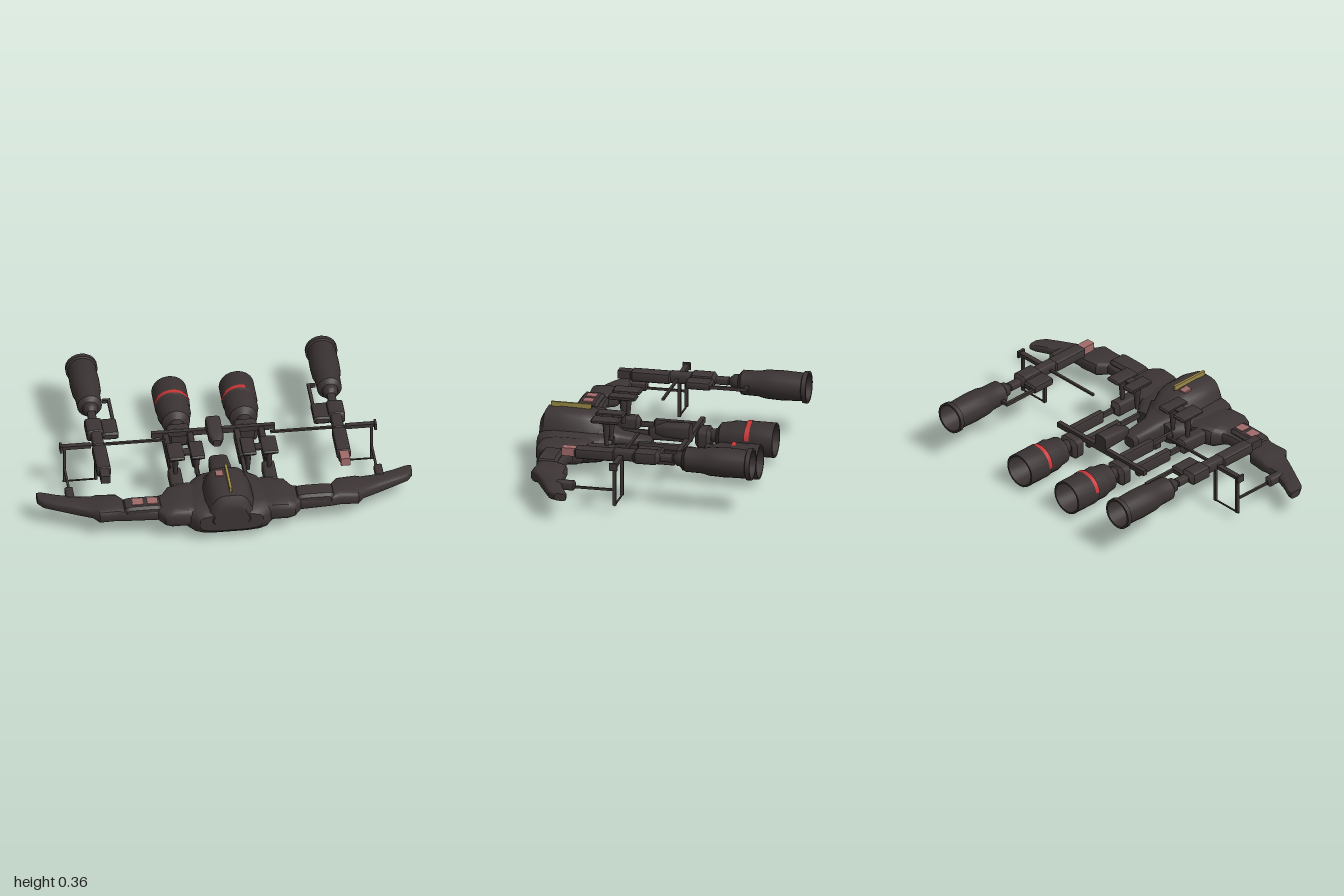
import * as THREE from 'three';
import { toCreasedNormals } from 'three/addons/utils/BufferGeometryUtils.js';

const mat = (name, color, side = THREE.FrontSide) => {
  const m = new THREE.MeshStandardMaterial({ color, side });
  m.name = name;
  return m;
};

// Loft along z. Section: [z, x0, x1, y0, y1]; power squares the ring, taper narrows its top.
function loft(sections, power = 0.5, taper = 0, n = 16) {
  const pos = [], idx = [];
  const soft = (v) => Math.sign(v) * Math.pow(Math.abs(v), power);
  for (const [z, x0, x1, y0, y1] of sections) {
    for (let j = 0; j < n; j++) {
      const a = ((j + 0.5) / n) * Math.PI * 2, s = soft(Math.sin(a));
      pos.push((x0 + x1) / 2 + ((x1 - x0) / 2) * soft(Math.cos(a)) * (1 - taper * (s + 1) / 2),
        (y0 + y1) / 2 + ((y1 - y0) / 2) * s, z);
    }
  }
  for (let i = 0; i < sections.length - 1; i++) {
    for (let j = 0; j < n; j++) {
      const k = (j + 1) % n, a = i * n + j, b = i * n + k;
      idx.push(a, b, b + n, a, b + n, a + n);
    }
  }
  const last = (sections.length - 1) * n;
  for (let j = 1; j < n - 1; j++) idx.push(0, j + 1, j, last, last + j, last + j + 1);
  const g = new THREE.BufferGeometry();
  g.setAttribute('position', new THREE.Float32BufferAttribute(pos, 3));
  g.setIndex(idx);
  return toCreasedNormals(g, 0.6);
}

export function createModel() {
  const root = new THREE.Group();
  root.name = 'gunship';
  const hullMat = mat('charcoal', 0x3d3535);
  const shellMat = mat('charcoal shell', 0x3a3232, THREE.DoubleSide);
  const red = mat('signal red', 0xc83434, THREE.DoubleSide);
  const yellow = mat('ochre yellow', 0x9c8a48);
  const pink = mat('faded pink', 0xa06a68);

  const add = (name, geo, material = hullMat, x = 0, y = 0, z = 0) => {
    const m = new THREE.Mesh(geo, material);
    m.name = name;
    m.position.set(x, y, z);
    root.add(m);
    return m;
  };
  // Box given by its limits
  const box = (name, x0, x1, y0, y1, z0, z1, material = hullMat) =>
    add(name, new THREE.BoxGeometry(Math.abs(x1 - x0), y1 - y0, z1 - z0), material,
      (x0 + x1) / 2, (y0 + y1) / 2, (z0 + z1) / 2);
  // Softened box, lofted along z
  const pod = (name, x, w, y0, y1, z0, z1, c = 0.02) => {
    const ring = (z, k) => [z, x - w + k, x + w - k, y0 + k, y1 - k];
    return add(name, loft([ring(z0, c), ring(z0 + c, 0), ring(z1 - c, 0), ring(z1, c)], 0.4));
  };
  // Lathe around a fore and aft axis, points are [radius, z]
  const turned = (name, points, x, y, material) => {
    const g = new THREE.LatheGeometry(points.map(([r, z]) => new THREE.Vector2(r, z)), 20);
    g.rotateX(Math.PI / 2);
    return add(name, toCreasedNormals(g, 0.6), material, x, y, 0);
  };

  // Fuselage, canopy hump and tail spine
  add('fuselage', loft([
    [0.24, -0.14, 0.14, 0.06, 0.17], [0.3, -0.19, 0.19, 0.035, 0.19], [0.42, -0.25, 0.25, 0.03, 0.2],
    [0.55, -0.25, 0.25, 0.03, 0.2], [0.61, -0.21, 0.21, 0.04, 0.19], [0.64, -0.17, 0.17, 0.07, 0.17]], 0.55));
  add('canopy', loft([
    [0.25, -0.09, 0.09, 0.1, 0.18], [0.29, -0.12, 0.12, 0.1, 0.22], [0.36, -0.15, 0.15, 0.1, 0.28],
    [0.42, -0.165, 0.165, 0.1, 0.29], [0.54, -0.165, 0.165, 0.1, 0.293], [0.62, -0.14, 0.14, 0.1, 0.28],
    [0.645, -0.11, 0.11, 0.11, 0.23]], 0.5, 0.42));
  add('tailSpine', loft([
    [0.05, -0.035, 0.035, 0.08, 0.14], [0.07, -0.052, 0.052, 0.06, 0.155],
    [0.22, -0.062, 0.062, 0.05, 0.175], [0.32, -0.12, 0.12, 0.05, 0.22]], 0.5));
  box('canopyStripe', -0.007, 0.007, 0.288, 0.314, 0.38, 0.6, yellow);
  box('canopyMark', -0.06, -0.02, 0.285, 0.294, 0.4, 0.45, pink);
  pod('bellyFin', 0, 0.04, 0, 0.06, 0.2, 0.26, 0.012);
  const sensor = add('bellySensor', new THREE.CylinderGeometry(0.055, 0.035, 0.06, 8), yellow, 0, 0.055, 0.13);
  sensor.scale.z = 0.9;

  // Triangle outline on the belly
  const tri = (r, Type) => new Type([0, 1, 2].map((i) => {
    const a = Math.PI / 2 + (i * Math.PI * 2) / 3;
    return new THREE.Vector2(Math.cos(a) * r, Math.sin(a) * r);
  }));
  const mark = tri(0.09, THREE.Shape);
  mark.holes.push(tri(0.05, THREE.Path));
  const bellyMark = add('bellyMark', new THREE.ShapeGeometry(mark), red, 0, 0.026, 0.46);
  bellyMark.rotation.x = Math.PI / 2;

  // Inner pair of tail plates, connecting bar and pod
  box('tailCrossbar', -0.33, 0.33, 0.145, 0.175, -0.16, -0.135);
  add('tailPod', loft([
    [-0.16, -0.04, 0.04, 0.16, 0.245], [-0.02, -0.04, 0.04, 0.17, 0.24], [0.03, -0.02, 0.02, 0.18, 0.22]], 0.4));

  // Wing sections: [span, front z, back z, bottom y, top y]
  const wing = [
    [0.15, 0.62, 0.33, 0.08, 0.19], [0.2, 0.6, 0.31, 0.075, 0.19], [0.22, 0.605, 0.32, 0.07, 0.195],
    [0.31, 0.61, 0.35, 0.075, 0.195], [0.345, 0.6, 0.4, 0.085, 0.18], [0.38, 0.555, 0.41, 0.095, 0.175],
    [0.55, 0.55, 0.42, 0.1, 0.175], [0.59, 0.54, 0.37, 0.095, 0.18], [0.69, 0.545, 0.36, 0.095, 0.18],
    [0.72, 0.51, 0.36, 0.105, 0.168], [0.8, 0.47, 0.355, 0.105, 0.17], [0.9, 0.42, 0.32, 0.108, 0.165],
    [0.97, 0.385, 0.285, 0.11, 0.16], [1.0, 0.345, 0.28, 0.115, 0.155]];

  for (const s of [-1, 1]) {
    const span = wing.map(([x, f, b, y0, y1]) => [s * x, -f, -b, y0, y1]);
    if (s < 0) span.reverse();
    add('wing', loft(span, 0.55).rotateY(Math.PI / 2));
    pod('wingPod', s * 0.46, 0.1, 0.12, 0.192, 0.435, 0.55, 0.015);
    pod('wingTipPod', s * 0.825, 0.022, 0.12, 0.17, 0.27, 0.38, 0.01);

    // Raised plates on stems beside the spine
    for (const [x, w] of [[0.137, 0.037], [0.25, 0.042]]) {
      pod('raisedPlate', s * x, w, 0.308, 0.33, 0.165, 0.32, 0.008);
      add('plateStem', new THREE.CylinderGeometry(0.022, 0.01, 0.14, 8), hullMat, s * x, 0.24, 0.24);
    }
    box('plateLink', s * 0.16, s * 0.22, 0.312, 0.322, 0.22, 0.275);
    pod('rootBlock', s * 0.25, 0.035, 0.1, 0.18, 0.17, 0.36);
    // Longerons running aft
    for (const x of [0.125, 0.255]) {
      pod('longeron', s * x, 0.018, 0.1, 0.17, -0.14, 0.1, 0.008);
      pod('longeronRoot', s * x, 0.011, 0.12, 0.15, 0.09, 0.43, 0.004);
    }

    // Inner engine
    pod('engineMount', s * 0.18, 0.062, 0.06, 0.17, -0.235, -0.15);
    turned('innerEngine', [[0.03, -0.2], [0.04, -0.26], [0.075, -0.285], [0.08, -0.33], [0.09, -0.36],
      [0.088, -0.42], [0.094, -0.43], [0.094, -0.58], [0.084, -0.58], [0.075, -0.44]], s * 0.18, 0.128, shellMat);
    const core = add('engineCore', new THREE.CircleGeometry(0.077, 20), red, s * 0.18, 0.128, -0.45);
    core.rotation.y = Math.PI;
    const band = add('engineBand', new THREE.CylinderGeometry(0.0965, 0.0965, 0.025, 20, 1, true,
      Math.PI * (s < 0 ? 0.55 : 0.9), Math.PI * (s < 0 ? 0.9 : 0.6)), red, s * 0.18, 0.128, -0.44);
    band.rotation.x = Math.PI / 2;

    // Outer engine and its boom
    turned('outerEngine', [[0.02, -0.18], [0.02, -0.22], [0.038, -0.24], [0.042, -0.27], [0.066, -0.29],
      [0.068, -0.38], [0.077, -0.42], [0.08, -0.5], [0.076, -0.62], [0.086, -0.625], [0.086, -0.65],
      [0.074, -0.65], [0.06, -0.42], [0, -0.42]], s * 0.64, 0.275, shellMat);
    pod('boomFront', s * 0.64, 0.038, 0.24, 0.3, 0.09, 0.32, 0.015);
    const tip = box('boomTip', s * 0.615, s * 0.665, 0.25, 0.295, 0.31, 0.385, s > 0 ? pink : hullMat);
    tip.name = s > 0 ? 'paintedBoomTip' : 'boomTip';
    pod('boomMiddle', s * 0.64, 0.03, 0.245, 0.305, -0.04, 0.11, 0.01);
    pod('boomHousing', s * 0.645, 0.045, 0.24, 0.31, -0.15, 0.0);
    pod('sideHousing', s * 0.565, 0.045, 0.25, 0.295, -0.145, 0.0, 0.01);
    pod('boomNeck', s * 0.64, 0.022, 0.255, 0.295, -0.22, -0.14, 0.005);
    box('sideStrut', s * 0.525, s * 0.542, 0.262, 0.28, -0.33, -0.14);
    box('strutHook', s * 0.525, s * 0.57, 0.262, 0.28, -0.34, -0.322);

    // Thin outrigger frame
    box('frameBar', s * 0.28, s * 0.84, 0.266, 0.278, 0.052, 0.066);
    box('frameBarSleeve', s * 0.68, s * 0.84, 0.262, 0.282, 0.046, 0.074);
    box('framePost', s * 0.812, s * 0.826, 0.05, 0.275, 0.05, 0.068);
    box('frameRod', s * 0.814, s * 0.826, 0.13, 0.142, 0.06, 0.36);
    box('frameLowerBar', s * 0.65, s * 0.83, 0.048, 0.054, 0.055, 0.063);
    box('frameInnerPost', s * 0.645, s * 0.66, 0.05, 0.25, 0.05, 0.068);
    box('frameEnd', s * 0.832, s * 0.845, 0.25, 0.29, 0.04, 0.085);
  }

  // Painted panels on one wing
  for (const x of [-0.485, -0.405]) box('wingPanel', x - 0.028, x + 0.028, 0.187, 0.195, 0.465, 0.52, pink);

  return root;
}
